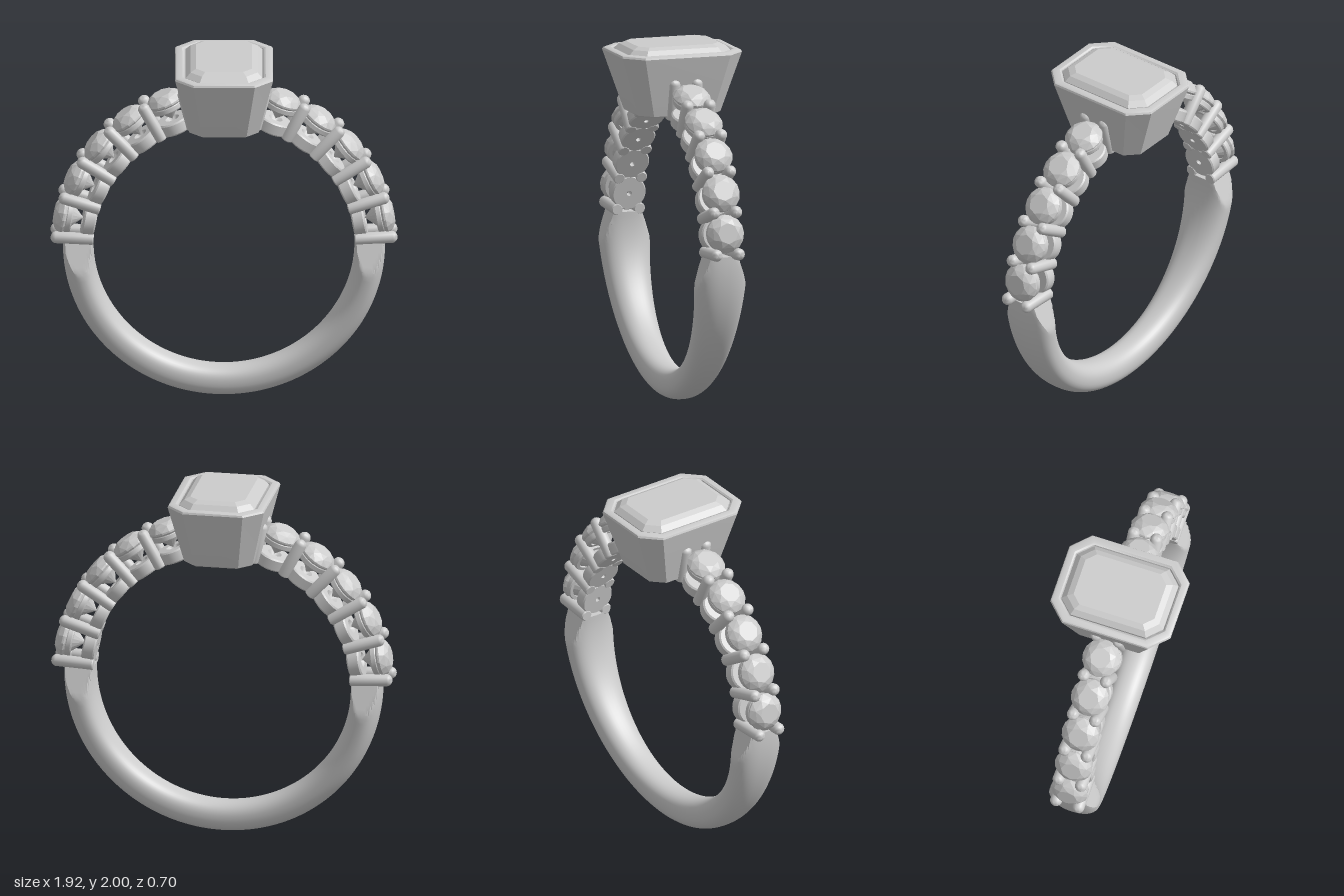
import * as THREE from 'three';
import { toCreasedNormals } from 'three/addons/utils/BufferGeometryUtils.js';
import { ConvexGeometry } from 'three/addons/geometries/ConvexGeometry.js';

const CENTRE_Y = 0.895;               // centre of the finger hole
const RAD = Math.PI / 180;
const metal = new THREE.MeshStandardMaterial({ color: 0xcccccc });
const V = (x, y, z) => new THREE.Vector3(x, y, z);

function part(name, geometry) {
  const mesh = new THREE.Mesh(geometry, metal);
  mesh.name = name;
  return mesh;
}

// Skin over rows of points; every row is a closed loop
function loft(rows, crease) {
  const n = rows[0].length, index = [];
  for (let i = 0; i < rows.length - 1; i++) {
    for (let j = 0; j < n; j++) {
      const k = (j + 1) % n;
      const a = i * n + j, b = i * n + k, c = a + n, d = b + n;
      index.push(a, c, d, a, d, b);
    }
  }
  const geo = new THREE.BufferGeometry().setFromPoints(rows.flat());
  geo.setIndex(index);
  return toCreasedNormals(geo, crease);
}

function lathe(points, segments = 32) {
  const profile = points.map(([x, y]) => new THREE.Vector2(x, y));
  return toCreasedNormals(new THREE.LatheGeometry(profile, segments), 0.6);
}

// Rectangle with cut corners: half width, half depth, height, corner cut
function octagon([hx, hz, y, cut]) {
  return [
    [hx, -hz + cut], [hx, hz - cut], [hx - cut, hz], [-hx + cut, hz],
    [-hx, hz - cut], [-hx, -hz + cut], [-hx + cut, -hz], [hx - cut, -hz],
  ].map(([x, z]) => V(x, y, z));
}

// Lower band: rounded section that widens upward, then is cut flat to a narrow end
function shankGeometry() {
  const steps = 96, sides = 40, rows = [];
  const soft = (v) => Math.sign(v) * Math.abs(v) ** 0.85;
  for (let i = 0; i <= steps; i++) {
    const a = (-182.5 + (185 * i) / steps) * RAD;
    const rise = (1 + Math.sin(a)) * 0.8;
    const width = 0.09 + 0.087 * rise * 0.95;
    const row = [];
    for (let j = 0; j < sides; j++) {
      const s = (j / sides) * Math.PI * 2;
      const r = 0.805 + 0.085 * soft(Math.cos(s));
      const y = CENTRE_Y + r * Math.sin(a);
      const limit = Math.max(0.075, 0.147 - 0.38 * Math.max(0, y - 0.75));
      const z = THREE.MathUtils.clamp(width * soft(Math.sin(s)), -limit, limit);
      row.push(V(r * Math.cos(a), y, z));
    }
    rows.push(row);
  }
  // close both ends
  const hub = (row) => {
    const c = row.reduce((sum, p) => sum.add(p), V(0, 0, 0)).divideScalar(sides);
    return row.map(() => c.clone());
  };
  return loft([hub(rows[0]), ...rows, hub(rows[steps])], 0.5);
}

// Small round faceted stone, local y is the distance from the ring centre
function roundGemGeometry() {
  const points = [V(0, 0.79, 0)];
  const ring = (n, r, y, turn = 0) => {
    for (let i = 0; i < n; i++) {
      const a = ((i + turn) / n) * Math.PI * 2;
      points.push(V(r * Math.cos(a), y, r * Math.sin(a)));
    }
  };
  ring(8, 0.058, 0.953);
  ring(8, 0.086, 0.937, 0.5);
  ring(16, 0.107, 0.91);
  ring(16, 0.107, 0.9);
  ring(8, 0.06, 0.852, 0.5);
  return new ConvexGeometry(points);
}

// Group whose local +y points outward from the ring centre at an angle
function spoke(name, degrees) {
  const g = new THREE.Group();
  g.name = name;
  g.position.y = CENTRE_Y;
  g.rotation.z = (degrees - 90) * RAD;
  return g;
}

export function createModel() {
  const ring = new THREE.Group();
  ring.name = 'ring';
  ring.add(part('shank', shankGeometry()));

  // Shoulder stones with their settings
  const gemGeo = roundGemGeometry();
  const colletGeo = lathe([[0.015, 0.722], [0.092, 0.722], [0.098, 0.73], [0.098, 0.785],
    [0.09, 0.793], [0.04, 0.793], [0.015, 0.765], [0.015, 0.722]]);
  const seatGeo = lathe([[0.075, 0.855], [0.094, 0.855], [0.099, 0.862], [0.099, 0.885],
    [0.094, 0.892], [0.075, 0.892], [0.075, 0.855]]);
  const dome = [90, 70, 50, 30, 10].reverse()
    .map((d) => [0.034 * Math.cos(d * RAD), 0.928 + 0.032 * Math.sin(d * RAD)]);
  const prongGeo = lathe([[0, 0.722], [0.028, 0.722], [0.033, 0.728], ...dome], 16);
  const FIRST = 3.6, STEP = 14.5;

  for (const side of [1, -1]) {
    const label = side > 0 ? 'left' : 'right';
    const around = (d) => (side > 0 ? d : 180 - d);
    for (let i = 0; i < 5; i++) {
      const setting = spoke(label + 'Stone', around(FIRST + STEP * (i + 0.5)));
      setting.add(part('gem', gemGeo), part('collet', colletGeo), part('seatRing', seatGeo));
      ring.add(setting);
    }
    for (let i = 0; i < 6; i++) {
      const pair = spoke(label + 'ProngPair', around(FIRST + STEP * i));
      for (const z of [-0.065, 0.065]) {
        const prong = part('prong', prongGeo);
        prong.position.z = z;
        pair.add(prong);
      }
      ring.add(pair);
    }
  }

  // Tapered bezel, open through the middle, with a rounded rim
  const bezelRows = [
    [0.115, 0.155, 1.615, 0.045], [0.18, 0.228, 1.608, 0.065], [0.192, 0.24, 1.616, 0.068],
    [0.268, 0.347, 1.94, 0.1], [0.27, 0.35, 1.95, 0.1], [0.266, 0.346, 1.96, 0.1],
    [0.256, 0.336, 1.965, 0.096], [0.23, 0.31, 1.965, 0.086], [0.218, 0.302, 1.958, 0.08],
    [0.214, 0.298, 1.945, 0.078], [0.2, 0.28, 1.88, 0.074], [0.115, 0.155, 1.615, 0.045],
  ];
  ring.add(part('bezel', loft(bezelRows.map(octagon), 0.5)));

  // Step-cut centre stone
  const stoneRows = [
    [0.155, 0.235, 2.0, 0.05], [0.185, 0.268, 1.985, 0.063], [0.212, 0.296, 1.957, 0.077],
    [0.212, 0.296, 1.94, 0.077], [0.165, 0.24, 1.86, 0.06], [0.1, 0.165, 1.77, 0.035],
    [0.01, 0.07, 1.68, 0.004],
  ];
  ring.add(part('centreStone', new ConvexGeometry(stoneRows.map(octagon).flat())));
  return ring;
}
